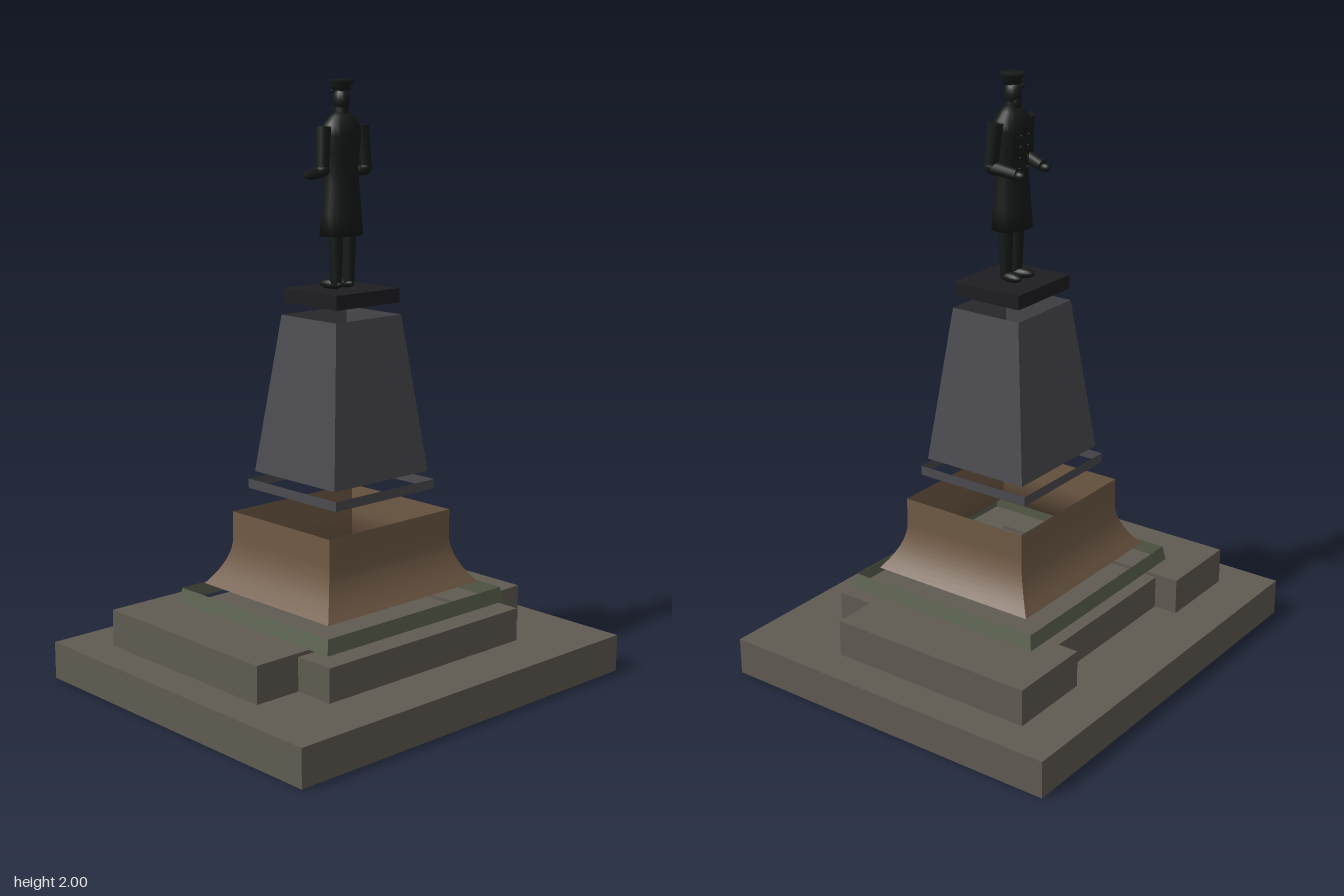
import * as THREE from 'three';

const mat = (color) => new THREE.MeshStandardMaterial({ color, side: THREE.DoubleSide });
const stone = mat(0x5f5b52), mossy = mat(0x5d6350), brown = mat(0x705a46);
const granite = mat(0x4b4b50), dark = mat(0x1e1e22), bronze = mat(0x151a17);

function add(parent, name, geometry, material, x = 0, y = 0, z = 0) {
  const mesh = new THREE.Mesh(geometry, material);
  mesh.name = name;
  mesh.position.set(x, y, z);
  parent.add(mesh);
  return mesh;
}

// Solid block given by its limits
function block(parent, name, material, x0, x1, y0, y1, z0, z1) {
  return add(parent, name, new THREE.BoxGeometry(x1 - x0, y1 - y0, z1 - z0), material,
    (x0 + x1) / 2, (y0 + y1) / 2, (z0 + z1) / 2);
}

// Four open walls through rows of [y, half width, half depth]
function walls(rows) {
  const corners = [[-1, 1], [1, 1], [1, -1], [-1, -1]];
  const pos = [], index = [];
  corners.forEach((c, side) => {
    const d = corners[(side + 1) % 4];
    rows.forEach(([y, a, b], i) => {
      const k = pos.length / 3;
      pos.push(c[0] * a, y, c[1] * b, d[0] * a, y, d[1] * b);
      if (i < rows.length - 1) index.push(k, k + 1, k + 3, k, k + 3, k + 2);
    });
  });
  const g = new THREE.BufferGeometry();
  g.setAttribute('position', new THREE.Float32BufferAttribute(pos, 3));
  g.setIndex(index);
  g.computeVertexNormals();
  return g;
}

const lathe = (points, segments = 20) =>
  new THREE.LatheGeometry(points.map(([r, y]) => new THREE.Vector2(r, y)), segments);

// Tapered round limb between two points
function limb(parent, name, from, to, r0, r1) {
  const a = new THREE.Vector3(...from), b = new THREE.Vector3(...to);
  const mesh = add(parent, name, new THREE.CylinderGeometry(r1, r0, a.distanceTo(b), 12), bronze);
  mesh.position.copy(a).add(b).multiplyScalar(0.5);
  mesh.quaternion.setFromUnitVectors(new THREE.Vector3(0, 1, 0), b.sub(a).normalize());
  return mesh;
}

function ball(parent, name, x, y, z, sx, sy, sz) {
  const mesh = add(parent, name, new THREE.SphereGeometry(1, 16, 10), bronze, x, y, z);
  mesh.scale.set(sx, sy, sz);
  return mesh;
}

// Standing figure in a long coat, facing -z
function makeStatue() {
  const s = new THREE.Group();
  s.name = 'statue';
  const coat = add(s, 'coat', lathe([[0, 1.51], [0.08, 1.5], [0.074, 1.57], [0.065, 1.66], [0.061, 1.71],
    [0.067, 1.77], [0.072, 1.82], [0.068, 1.855], [0.045, 1.88], [0.024, 1.895], [0, 1.9]]), bronze);
  coat.scale.z = 0.74;
  add(s, 'neck', new THREE.CylinderGeometry(0.021, 0.026, 0.05, 14), bronze, 0, 1.895, 0);
  ball(s, 'head', 0, 1.932, -0.002, 0.027, 0.04, 0.031);
  ball(s, 'beard', 0, 1.905, -0.018, 0.018, 0.026, 0.014);
  add(s, 'cap', lathe([[0, 1.96], [0.03, 1.962], [0.03, 1.975], [0.041, 1.99], [0.038, 1.998], [0, 2]]), bronze);
  const peak = add(s, 'capPeak', new THREE.CylinderGeometry(0.024, 0.026, 0.005, 16), bronze, 0, 1.962, -0.018);
  peak.rotation.x = -0.2;
  for (const m of [-1, 1]) {
    limb(s, 'upperArm', [m * 0.094, 1.72, 0.012], [m * 0.083, 1.85, 0.004], 0.022, 0.026);
    ball(s, 'elbow', m * 0.094, 1.715, 0.012, 0.023, 0.023, 0.024);
    limb(s, 'forearm', [m * 0.094, 1.712, 0.01], [m * 0.072, 1.695, -0.068], 0.022, 0.018);
    ball(s, 'hand', m * 0.069, 1.692, -0.08, 0.014, 0.014, 0.02);
    limb(s, 'leg', [m * 0.028, 1.34, 0.004], [m * 0.03, 1.52, 0.004], 0.019, 0.025);
    const shoe = ball(s, 'shoe', m * 0.03, 1.342, -0.016, 0.021, 0.017, 0.047);
    shoe.rotation.y = -m * 0.15;
  }
  // Coat buttons in two rows
  for (const m of [-1, 1]) for (let i = 0; i < 4; i++)
    ball(s, 'button', m * 0.02, 1.7 + i * 0.035, -0.045 - i * 0.002, 0.004, 0.004, 0.004);
  return s;
}

export function createModel() {
  const model = new THREE.Group();
  model.name = 'monument';
  const turned = new THREE.Group();
  turned.name = 'turnedMonument';
  turned.rotation.y = THREE.MathUtils.degToRad(25);
  model.add(turned);

  // Steps: base, two side blocks and a lower block that projects at the front
  block(turned, 'base', stone, -0.722, 0.722, 0, 0.127, -0.624, 0.624);
  block(turned, 'rightStep', stone, -0.598, -0.3, 0.127, 0.252, -0.46, 0.282);
  block(turned, 'leftStep', stone, 0.3, 0.598, 0.127, 0.252, -0.46, 0.282);
  block(turned, 'middleStep', stone, -0.43, 0.43, 0.127, 0.24, -0.376, 0.425);

  // Pedestal: separate open courses with gaps between them
  const pedestal = new THREE.Group();
  pedestal.name = 'pedestal';
  pedestal.position.z = 0.018;
  turned.add(pedestal);
  add(pedestal, 'plinth', walls([[0.262, 0.403, 0.37], [0.312, 0.394, 0.361]]), mossy);
  const flare = [];
  for (let i = 0; i <= 10; i++) {
    const t = i / 10, out = 0.069 * Math.pow(1 - t, 1.9);
    flare.push([0.33 + 0.16 * t, 0.273 + out, 0.237 + out]);
  }
  flare.push([0.58, 0.273, 0.237]);
  add(pedestal, 'flaredCourse', walls(flare), brown);
  add(pedestal, 'band', walls([[0.656, 0.223, 0.213], [0.688, 0.223, 0.213]]), granite);
  add(pedestal, 'shaft', walls([[0.715, 0.211, 0.194], [1.24, 0.145, 0.131]]), granite);
  block(pedestal, 'capSlab', dark, -0.14, 0.14, 1.28, 1.327, -0.128, 0.128);
  pedestal.add(makeStatue());
  return model;
}
